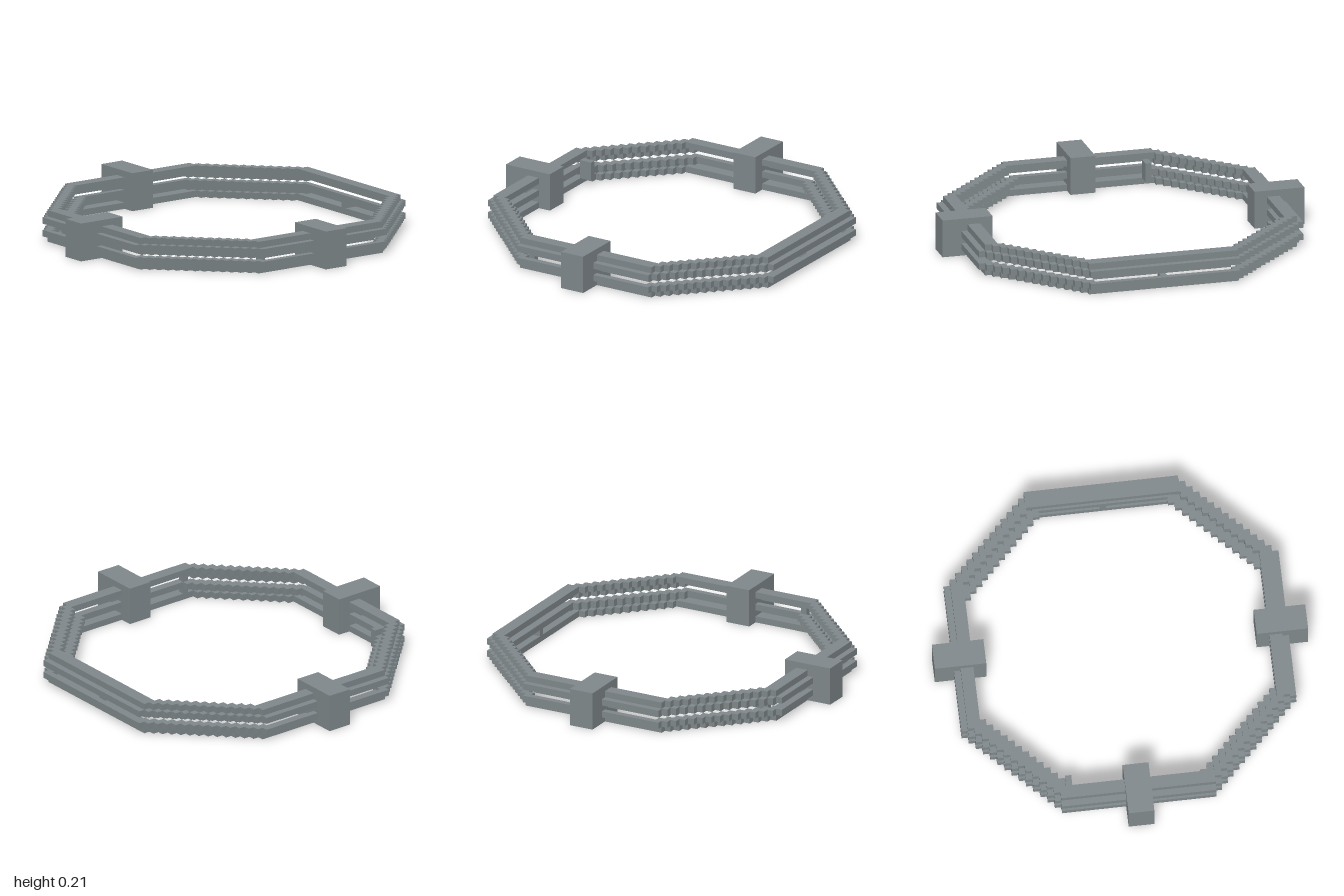
import * as THREE from 'three';

const U = 1 / 29;      // size of one block
const CZ = -1.5;       // ring centre along z, in blocks

export function createModel() {
  const root = new THREE.Group();
  root.name = 'octagonalRing';
  const grey = new THREE.MeshStandardMaterial({ color: 0x7f888b });
  grey.name = 'steel grey';

  const add = (name, geometry) => {
    const mesh = new THREE.Mesh(geometry, grey);
    mesh.name = name;
    root.add(mesh);
  };
  // Box in block units: plan centre relative to the ring centre, base height
  const box = (name, w, h, d, x, y, z) => {
    const g = new THREE.BoxGeometry(w * U, h * U, d * U);
    g.translate(x * U, (y + h / 2) * U, (z + CZ) * U);
    add(name, g);
  };

  // Octagon with stepped diagonals: straight sides at distance d from the
  // centre, step corners on the line x + z = s; counter-clockwise
  const octagon = (d, s) => {
    const quarter = [];
    for (let z = d; z >= s - d; z--) {
      quarter.push([s - z, z]);
      if (z > s - d) quarter.push([s - z, z - 1]);
    }
    const back = quarter.slice().reverse();
    return [
      ...back,
      ...quarter.map(([x, z]) => [-x, z]),
      ...back.map(([x, z]) => [-x, -z]),
      ...quarter.map(([x, z]) => [x, -z]),
    ].map(([x, z]) => new THREE.Vector2(x * U, z * U));
  };

  // One-block-high rail between two stepped octagons
  const rail = (name, row, outer, inner) => {
    const shape = new THREE.Shape(octagon(...outer));
    shape.holes.push(new THREE.Path(octagon(...inner)));
    const g = new THREE.ExtrudeGeometry(shape, { depth: U, bevelEnabled: false });
    g.rotateX(-Math.PI / 2);
    g.translate(0, row * U, CZ * U);
    add(name, g);
  };

  // Rails: outer pair, bottom and top flanges, and the recessed middle one
  for (const row of [1, 3]) rail('outerRail', row, [26, 38], [25, 36]);
  for (const row of [0, 4]) rail('flangeRail', row, [25, 37], [23, 35]);
  rail('middleRail', 2, [24, 35], [23, 33]);

  // Small posts joining the rails
  box('backPost', 1, 1, 2, 0, 1, -24);
  box('frontPost', 1, 3, 2, -10.5, 1, 22);
  box('sidePost', 1, 3, 1, 23.5, 1, 10.5);

  // Large blocks on both sides and the front
  box('leftBlock', 8, 6, 4, 25, 0, 0);
  box('rightBlock', 8, 6, 4, -25, 0, 0);
  box('frontBlock', 4, 6, 8, 0, 0, 25);

  return root;
}
